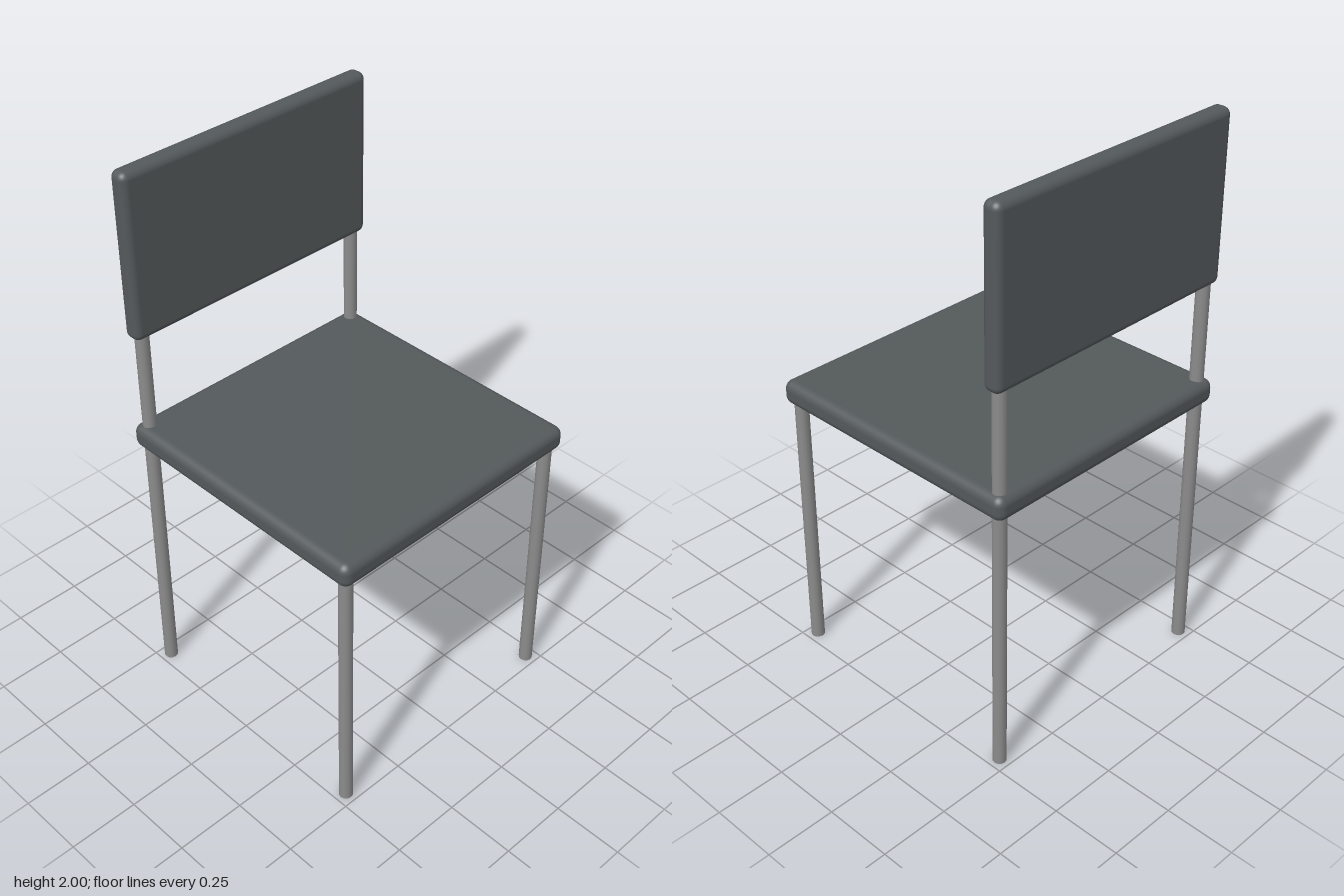
import * as THREE from 'three';
import { RoundedBoxGeometry } from 'three/addons/geometries/RoundedBoxGeometry.js';

export function createModel() {
  const chair = new THREE.Group();
  chair.name = 'chair';

  const upholstery = new THREE.MeshStandardMaterial({ color: 0x54595b });
  upholstery.name = 'charcoal upholstery';
  const steel = new THREE.MeshStandardMaterial({ color: 0x8c8c8c });
  steel.name = 'grey steel';

  // Padded panel with rounded edges, spanning y0..y1 and z0..z1
  function addPad(name, y0, y1, z0, z1, radius) {
    const geometry = new RoundedBoxGeometry(1.006, y1 - y0, z1 - z0, 5, radius);
    const pad = new THREE.Mesh(geometry, upholstery);
    pad.name = name;
    pad.position.set(0, (y0 + y1) / 2, (z0 + z1) / 2);
    chair.add(pad);
  }

  // Upright round bar from y0 to y1
  function addBar(name, x, z, y0, y1) {
    const bar = new THREE.Mesh(new THREE.CylinderGeometry(0.024, 0.024, y1 - y0, 12), steel);
    bar.name = name;
    bar.position.set(x, (y0 + y1) / 2, z);
    chair.add(bar);
  }

  addPad('seat', 0.972, 1.06, -0.503, 0.503, 0.032);
  addPad('backrest', 1.408, 2, -0.494, -0.427, 0.026);

  // Front legs stop in the seat; back legs run on up to carry the backrest
  for (const [side, x] of [['left', 0.46], ['right', -0.46]]) {
    addBar(side + 'FrontLeg', x, 0.46, 0, 1.0);
    addBar(side + 'BackLeg', x, -0.46, 0, 1.45);
  }

  return chair;
}
